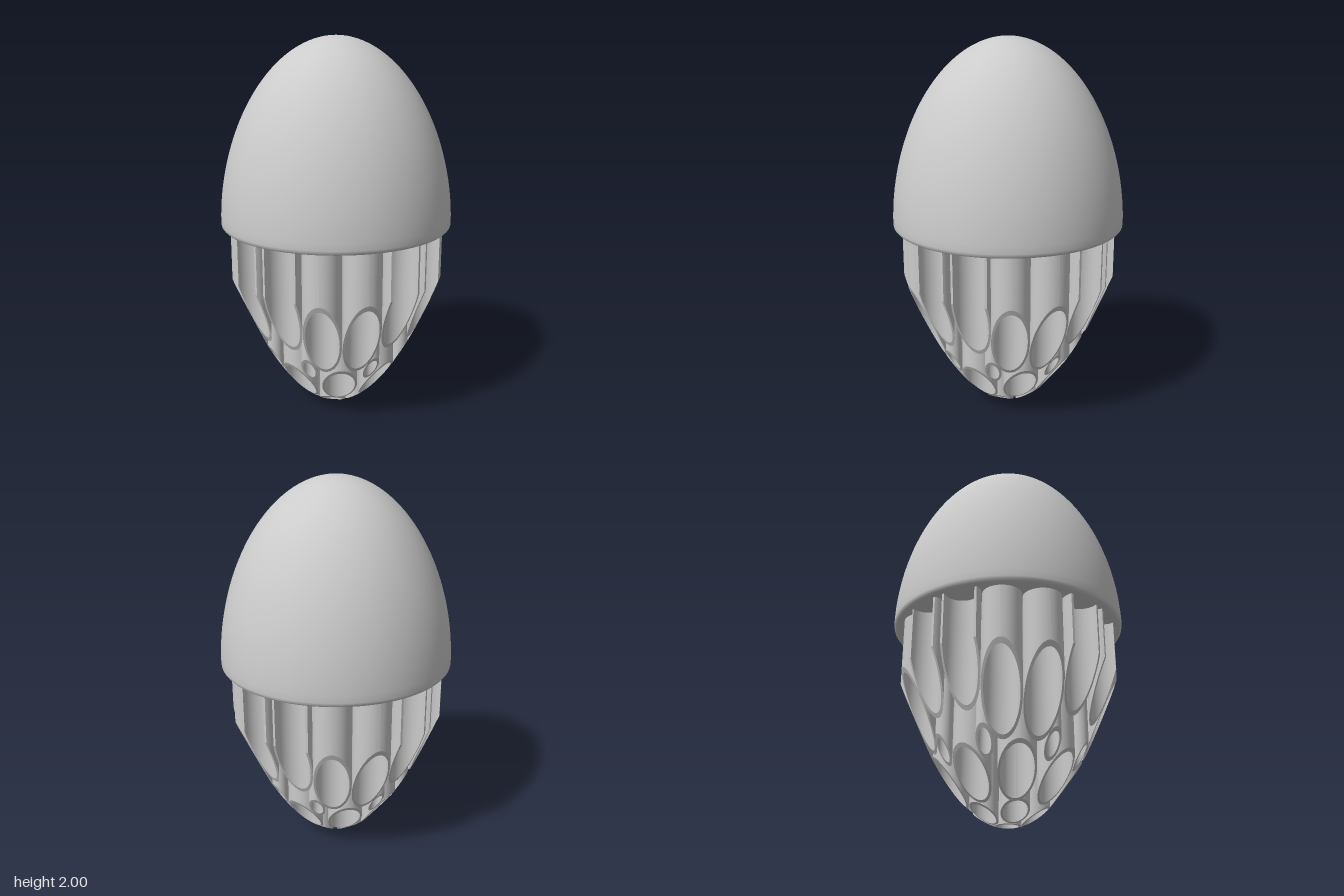
import * as THREE from 'three';
import { toCreasedNormals } from 'three/addons/utils/BufferGeometryUtils.js';

const material = new THREE.MeshStandardMaterial({ color: 0xcccccc });
const TOP = 1.03, LIMIT = 0.57, WALL = 0.011, SEGMENTS = 48;

// Height of the bowl-shaped cut that trims the lower ends of the tubes
const cutHeight = (x, z) => Math.max(0, 2.35 * (x * x + z * z) - 0.007);

// Upper and lower edge of one tube wall, keeping only what lies within LIMIT
function wallEdges(cx, cz, radius) {
  const c = Math.hypot(cx, cz), outward = Math.atan2(cz, cx);
  const k = c > 0 ? (LIMIT ** 2 - c * c - radius * radius) / (2 * c * radius) : 1;
  const open = k < 1 ? Math.acos(k) : 0;
  const top = [], bottom = [];
  for (let i = 0; i <= SEGMENTS; i++) {
    const a = outward + open + (i / SEGMENTS) * (2 * Math.PI - 2 * open);
    const x = cx + radius * Math.cos(a), z = cz + radius * Math.sin(a);
    top.push([x, TOP, z]);
    bottom.push([x, cutHeight(x, z), z]);
  }
  return { top, bottom, open: open > 0 };
}

// Hollow vertical tube, or an open channel where it reaches past LIMIT
function tubeGeometry(cx, cz, radius) {
  const outer = wallEdges(cx, cz, radius);
  const inner = wallEdges(cx, cz, radius - WALL);
  const positions = [], indices = [];
  const strip = (a, b) => {
    const base = positions.length / 3;
    a.forEach((p, i) => positions.push(...p, ...b[i]));
    for (let i = 0; i < a.length - 1; i++) {
      const n = base + 2 * i;
      indices.push(n, n + 2, n + 3, n, n + 3, n + 1);
    }
  };
  strip(outer.top, outer.bottom);
  strip(outer.bottom, inner.bottom);
  strip(inner.bottom, inner.top);
  if (outer.open) {
    const e = SEGMENTS;
    strip([inner.top[0], outer.top[0]], [inner.bottom[0], outer.bottom[0]]);
    strip([outer.top[e], inner.top[e]], [outer.bottom[e], inner.bottom[e]]);
  }
  const geometry = new THREE.BufferGeometry();
  geometry.setAttribute('position', new THREE.Float32BufferAttribute(positions, 3));
  geometry.setIndex(indices);
  geometry.computeVertexNormals();
  return geometry;
}

function createDome() {
  // Flat underside, rounded lip, then the egg-shaped shell
  const points = [[0, 1.02], [0.585, 1.02], [0.6, 1.023], [0.608, 1.032]]
    .map(([x, y]) => new THREE.Vector2(x, y));
  for (let i = 0; i <= 40; i++) {
    const t = Math.sin((i / 40) * Math.PI / 2);
    const r = 0.61 * Math.pow(Math.max(0, 1 - Math.pow(t, 1.87)), 0.51);
    points.push(new THREE.Vector2(r, 1.045 + 0.955 * t));
  }
  const geometry = toCreasedNormals(new THREE.LatheGeometry(points, 96), 0.7);
  const dome = new THREE.Mesh(geometry, material);
  dome.name = 'dome';
  return dome;
}

export function createModel() {
  const model = new THREE.Group();
  model.name = 'domedTubeBundle';
  model.add(createDome());

  const addTube = (name, x, z, radius) => {
    const tube = new THREE.Mesh(tubeGeometry(x, z, radius), material);
    tube.name = name;
    model.add(tube);
  };

  // Eightfold sets: each position mirrored across x, z and the diagonals
  const sets = [
    ['outerTube', 0.099, 0.46, 0.097],
    ['outerChannel', 0.295, 0.45, 0.097],
    ['slimTube', 0.16, 0.335, 0.042],
  ];
  for (const [name, x, z, radius] of sets) {
    for (const sx of [-1, 1]) for (const sz of [-1, 1]) {
      addTube(name, sx * x, sz * z, radius);
      addTube(name, sx * z, sz * x, radius);
    }
  }

  // Concentric rings of tubes near the middle
  const ring = (name, count, distance, radius, start) => {
    for (let i = 0; i < count; i++) {
      const a = start + (i / count) * Math.PI * 2;
      addTube(name, distance * Math.sin(a), distance * Math.cos(a), radius);
    }
  };
  ring('middleTube', 8, 0.285, 0.092, 0);
  ring('innerTube', 5, 0.136, 0.07, THREE.MathUtils.degToRad(-12));
  addTube('centreTube', 0, 0, 0.062);
  return model;
}
